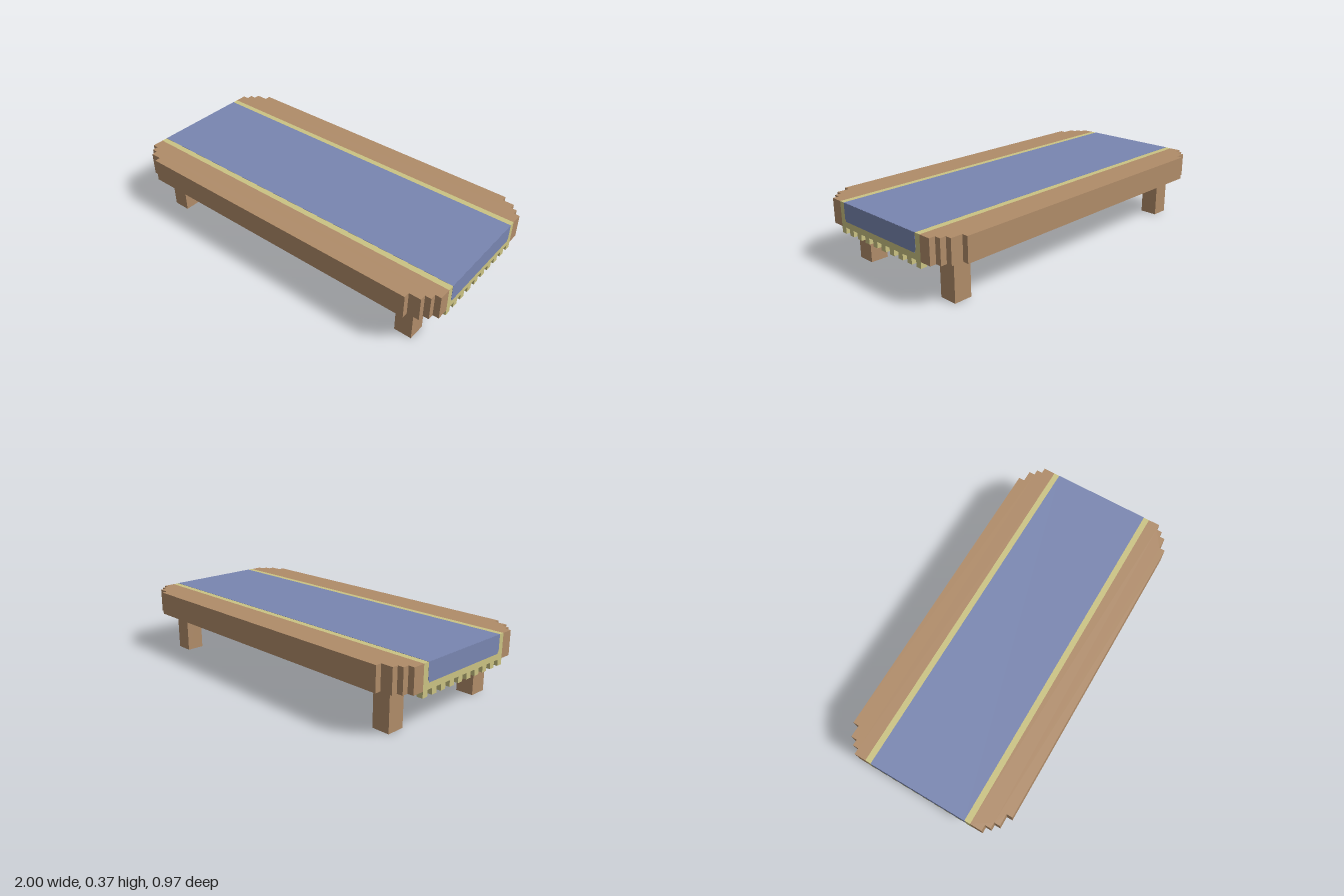
import * as THREE from 'three';

const U = 1 / 30; // size of one block
const TOP = 11 * U, BASE = 7 * U;

const material = (name, color) => {
  const m = new THREE.MeshStandardMaterial({ color });
  m.name = name;
  return m;
};

export function createModel() {
  const wood = material('wood', 0xb08c69);
  const blue = material('blue cloth', 0x7986b1);
  const trim = material('yellow trim', 0xcbc383);
  const model = new THREE.Group();
  model.name = 'lowTable';

  const add = (name, geometry, mat, x = 0, y = 0, z = 0) => {
    const mesh = new THREE.Mesh(geometry, mat);
    mesh.name = name;
    mesh.position.set(x, y, z);
    model.add(mesh);
    return mesh;
  };
  const shapeOf = (points) => new THREE.Shape(points.map(([x, y]) => new THREE.Vector2(x, y)));

  // Wooden sides of the top, with stepped corners
  const corner = [[30, 9.5], [30, 11.5], [29, 11.5], [29, 12.5], [28, 12.5], [28, 13.5], [26, 13.5], [26, 14.5]];
  const outline = [...corner, ...corner.map(([x, z]) => [-x, z]).reverse()].map(([x, z]) => [x * U, z * U]);
  const sideGeometry = new THREE.ExtrudeGeometry(shapeOf(outline), { depth: TOP - BASE, bevelEnabled: false });
  sideGeometry.rotateX(-Math.PI / 2);
  for (const front of [true, false]) {
    const side = add(front ? 'frontTableSide' : 'backTableSide', sideGeometry, wood, 0, BASE, 0);
    if (front) side.rotation.y = Math.PI;
  }

  // Middle of the top: yellow runner above and at the ends, wood below
  add('runnerBorder', new THREE.BoxGeometry(60 * U, TOP - BASE, 19 * U),
    [trim, trim, trim, wood, wood, wood], 0, (TOP + BASE) / 2, 0);

  // Blue field of the runner
  add('runnerTop', new THREE.BoxGeometry(60 * U, 0.002, 17 * U), blue, 0, TOP, 0);

  // Blue end panels with slightly cut lower corners
  const w = 8.5 * U, low = 8 * U, cut = 0.007;
  const panel = new THREE.ExtrudeGeometry(shapeOf([
    [-w + cut, low], [w - cut, low], [w - cut, low + cut], [w, low + 2 * cut], [w, TOP],
    [-w, TOP], [-w, low + 2 * cut], [-w + cut, low + cut],
  ]), { depth: 0.002, bevelEnabled: false });
  panel.translate(0, 0, -0.001);
  panel.rotateY(Math.PI / 2);

  const tassel = new THREE.BoxGeometry(U, U, U);
  const leg = new THREE.BoxGeometry(3 * U, BASE, 3 * U);
  for (const s of [-1, 1]) {
    add('runnerEnd', panel, blue, s * 30 * U, 0, 0);
    // Fringe under each end
    for (let z = -9; z <= 9; z += 2) add('tassel', tassel, trim, s * 29.5 * U, 6.5 * U, z * U);
    for (const t of [-1, 1]) {
      add(t > 0 ? 'frontLeg' : 'backLeg', leg, wood, s * 24.5 * U, BASE / 2, t * 10 * U);
    }
  }
  return model;
}
